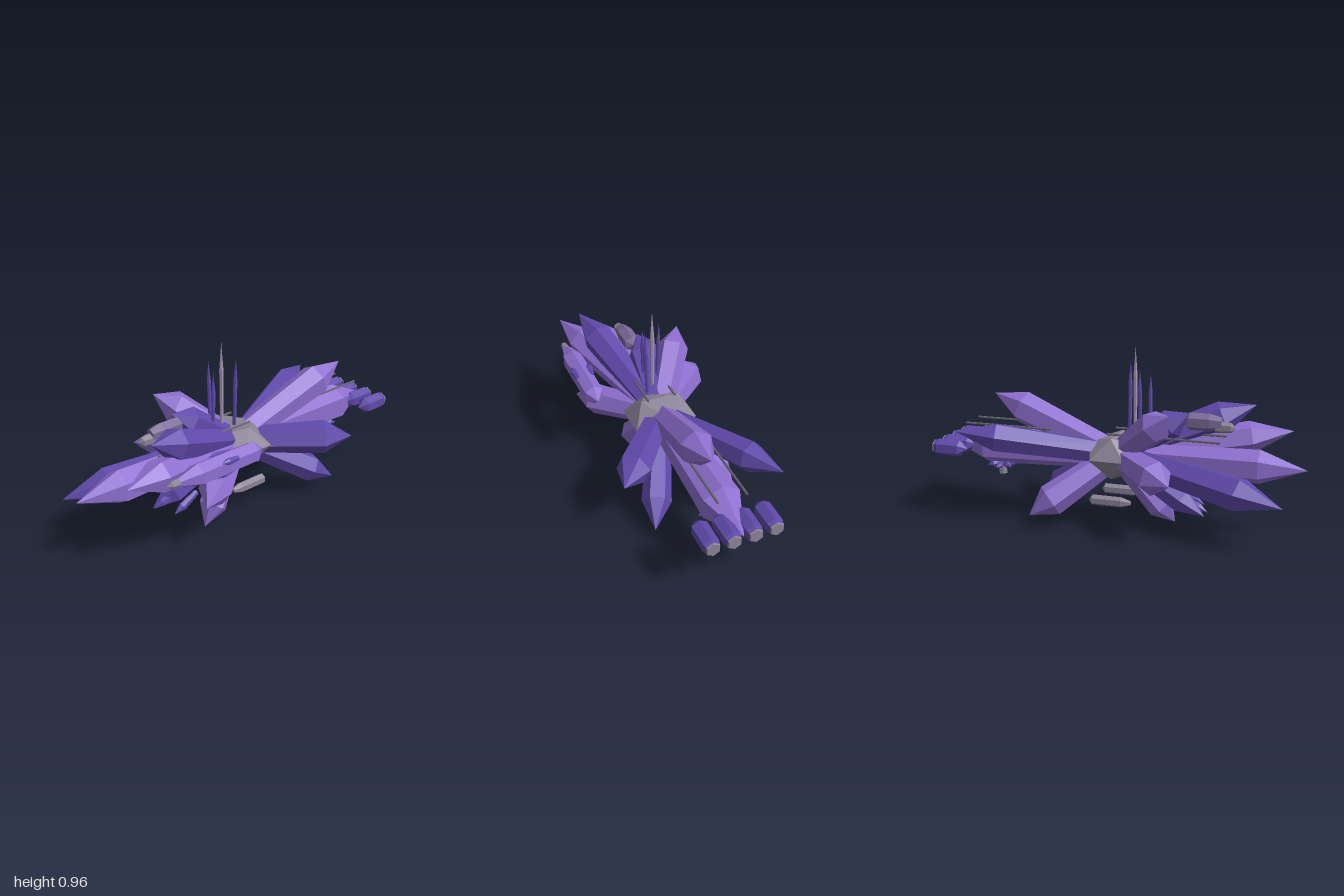
import * as THREE from 'three';

const mat = (name, color) => Object.assign(new THREE.MeshStandardMaterial({ color }), { name });
const UP = new THREE.Vector3(0, 1, 0);

// Faceted body of revolution, profile given as [radius, height] pairs
function facet(profile, sides = 6) {
  const pts = profile.map(([r, h]) => new THREE.Vector2(r, h));
  const g = new THREE.LatheGeometry(pts, sides).toNonIndexed();
  g.computeVertexNormals();
  return g;
}

export function createModel() {
  const lilac = mat('lilac crystal', 0x8e6fd0);
  const violet = mat('violet crystal', 0x5f49aa);
  const pale = mat('pale lavender', 0xa294b4);
  const dusk = mat('dusky lavender', 0x796a96);
  const grey = mat('lavender grey', 0x8a8296);
  const dark = mat('dark grey', 0x66626e);
  const model = new THREE.Group();

  function add(parent, name, geometry, material, pos = [0, 0, 0], dir = [0, 1, 0]) {
    const m = new THREE.Mesh(geometry, material);
    m.name = name;
    m.position.set(...pos);
    m.quaternion.setFromUnitVectors(UP, new THREE.Vector3(...dir).normalize());
    parent.add(m);
    return m;
  }

  // Crystal from a base point to a tip, widest at the shoulder
  function crystal(parent, name, material, from, to, r, shoulder = 0.76, base = 0.74) {
    const d = to.map((v, i) => v - from[i]);
    const L = Math.hypot(...d);
    return add(parent, name, facet([[0, 0], [r * base, 0], [r, L * shoulder], [0, L]]), material, from, d);
  }

  // Flattened core
  const core = [0, 0.375, 0];
  add(model, 'core', new THREE.IcosahedronGeometry(0.2, 0).scale(1, 0.64, 0.9), grey, core);

  // Large crystals bursting from the core: tip, radius, colour
  const burst = new THREE.Group();
  burst.name = 'crystalBurst';
  model.add(burst);
  [
    [0, 0.375, 1, 0.09, lilac],
    [-0.265, 0.25, 0.92, 0.09, violet],
    [0.26, 0.51, 0.89, 0.085, lilac],
    [-0.39, 0.345, 0.39, 0.09, lilac],
    [0.315, 0.275, 0.47, 0.085, lilac],
    [0.2, 0.65, 0.7, 0.085, violet],
    [-0.25, 0.66, 0.35, 0.085, lilac],
    [-0.035, 0.635, 0.4, 0.078, violet],
    [-0.09, 0.11, 0.5, 0.068, violet],
    [0.09, 0, 0.3, 0.075, lilac],
    [0.055, 0.65, -0.73, 0.09, lilac],
    [-0.3, 0.505, -0.79, 0.08, violet],
    [0.39, 0.385, -0.48, 0.09, violet],
    [0.24, 0.07, -0.51, 0.078, violet],
    [-0.26, 0.075, -0.4, 0.088, lilac],
    [0, 0.375, -0.98, 0.11, lilac],
  ].forEach(([x, y, z, r, m], i) => crystal(burst, 'crystal' + (i + 1), m, core, [x, y, z], r));

  // Spires on top
  const spires = new THREE.Group();
  spires.name = 'spires';
  model.add(spires);
  [
    [0, 0.955, 0.1, pale], [0.025, 0.815, 0.175, violet],
    [-0.055, 0.85, 0.14, violet], [0.06, 0.875, 0.055, violet],
  ].forEach(([x, y, z, m]) =>
    crystal(spires, 'spire', m, [x * 0.8, 0.5, z], [x, y, z], 0.0115, 0.66, 0.8));

  // Engines at the tail
  for (const x of [-0.163, -0.055, 0.055, 0.163]) {
    const engine = new THREE.Group();
    engine.name = 'engine';
    engine.position.set(x, 0.375, -0.99);
    model.add(engine);
    add(engine, 'engineBody', facet([[0.038, 0], [0.046, 0.02], [0.046, 0.145], [0, 0.19]]), violet, [0, 0, 0], [0, 0, 1]);
    add(engine, 'nozzle', facet([[0, 0], [0.036, 0], [0.039, 0.01]]), grey, [0, 0, -0.01], [0, 0, 1]);
  }

  // Thin rods, fore and aft
  for (const x of [-0.075, 0.075]) {
    for (const [z, len] of [[-0.03, 0.6], [-0.85, 0.5]]) {
      add(model, 'rod', facet([[0, 0], [0.006, 0], [0.006, len], [0, len]]), dark, [x, 0.5, z], [0, 0, 1]);
    }
  }

  // Detached side pod with a grey nose and three fins
  const pod = new THREE.Group();
  pod.name = 'sidePod';
  pod.position.set(0.308, 0.478, 0);
  model.add(pod);
  add(pod, 'podBody', facet([[0, 0], [0.055, 0.065], [0.058, 0.42], [0.02, 0.54], [0, 0.54]]), lilac, [0, 0, 0.1], [0, 0, 1]);
  add(pod, 'podNose', facet([[0.014, 0], [0.022, 0.02], [0.018, 0.06], [0, 0.085]], 8), grey, [0, 0, 0.615], [0, 0, 1]);
  for (const a of [0.62, 2.5, 4.78]) {
    const c = Math.cos(a), s = Math.sin(a);
    crystal(pod, 'podFin', violet, [c * 0.048, s * 0.048, 0.3], [c * 0.06, s * 0.06, 0.41], 0.018, 0.6);
  }

  // Capsule riding above the nose, with a grey tip set low
  add(model, 'upperCapsule', facet([[0, 0], [0.046, 0.02], [0.046, 0.13], [0.03, 0.19], [0, 0.19]]), dusk, [0, 0.585, 0.37], [0, 0, 1]);
  add(model, 'upperCapsuleTip', facet([[0, 0], [0.032, 0], [0.026, 0.08], [0, 0.1]]), grey, [0, 0.565, 0.53], [0, 0, 1]);

  // Grey capsules below the core
  for (const x of [-0.11, 0.1]) {
    add(model, 'lowerCapsule', facet([[0, 0], [0.028, 0.02], [0.028, 0.18], [0.012, 0.23], [0, 0.23]]), grey, [x, 0.147, -0.12], [0, 0, 1]);
  }

  // Small crystals under the nose
  crystal(model, 'chinCrystal', violet, [0.05, 0.2, 0.32], [0.055, 0.125, 0.47], 0.022, 0.65);
  crystal(model, 'chinCrystal', violet, [-0.045, 0.185, 0.38], [-0.06, 0.125, 0.51], 0.022, 0.65);

  // Turret under the tail with a ring of small crystals
  const turret = new THREE.Group();
  turret.name = 'tailTurret';
  turret.position.set(0, 0.272, -0.67);
  model.add(turret);
  add(turret, 'turretBarrel', facet([[0, 0], [0.024, 0.01], [0.024, 0.065], [0.015, 0.1]]), grey, [0, -0.072, 0]);
  for (let i = 0; i < 6; i++) {
    const a = i * Math.PI / 3;
    crystal(turret, 'turretPetal', violet, [0, 0, 0], [Math.cos(a) * 0.085, -0.012, Math.sin(a) * 0.085], 0.019, 0.6);
  }
  return model;
}
